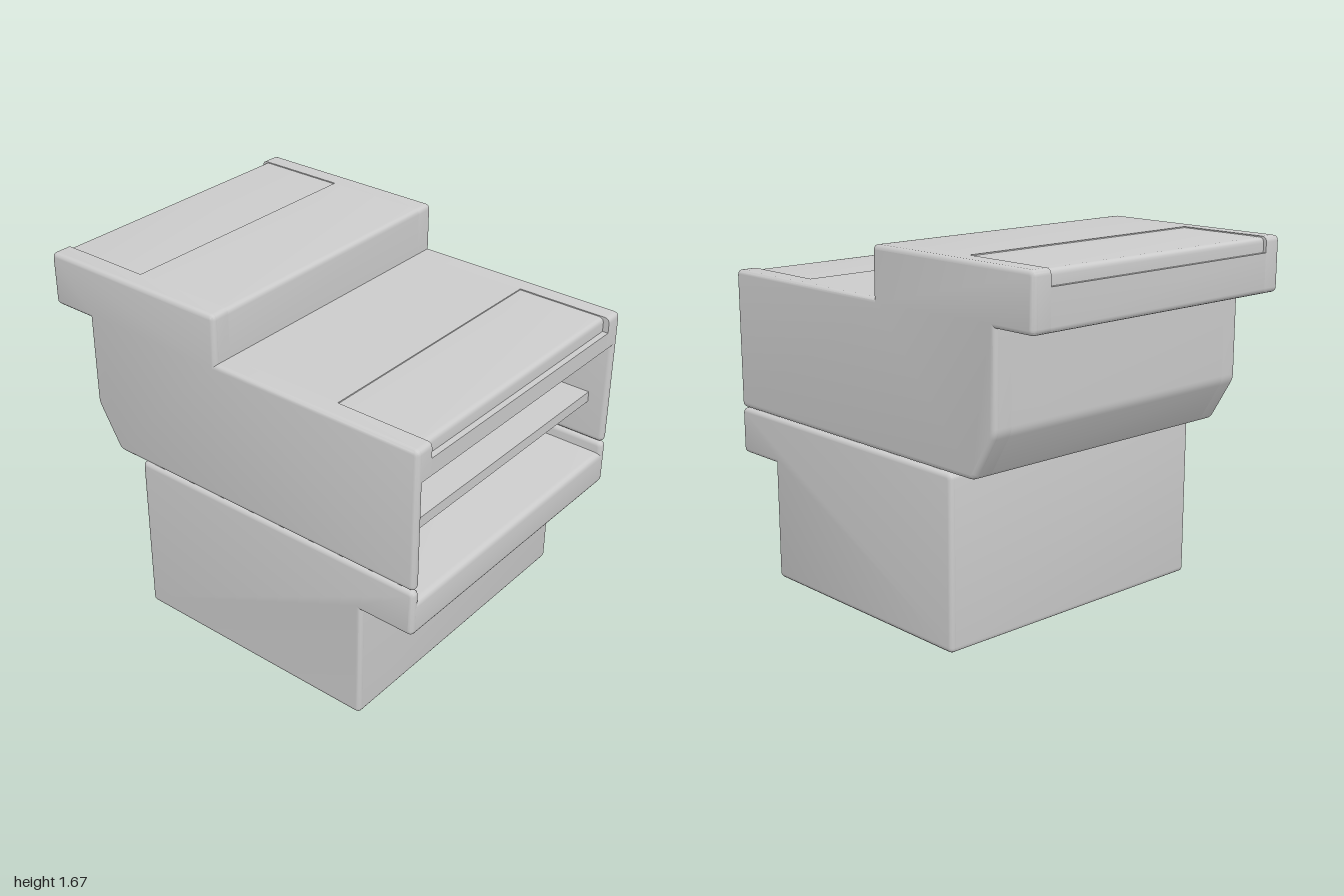
import * as THREE from 'three';
import { toCreasedNormals } from 'three/addons/utils/BufferGeometryUtils.js';

const R = 0.025; // edge rounding
const BEVEL = 0.02;

// Side profile from [z, y, radius] corners
function profile(corners) {
  const pts = corners.map(([z, y]) => new THREE.Vector2(z, y));
  const n = pts.length;
  const toward = (a, b, d) => a.clone().add(b.clone().sub(a).setLength(d));
  const shape = new THREE.Shape();
  corners.forEach(([z, y, r = 0], i) => {
    const a = toward(pts[i], pts[(i + n - 1) % n], r || 1e-9);
    const b = toward(pts[i], pts[(i + 1) % n], r || 1e-9);
    if (r === 0) a.copy(pts[i]);
    if (i === 0) shape.moveTo(a.x, a.y); else shape.lineTo(a.x, a.y);
    if (r > 0) shape.quadraticCurveTo(z, y, b.x, b.y);
  });
  shape.closePath();
  return shape;
}

export function createModel() {
  const model = new THREE.Group();
  const material = new THREE.MeshStandardMaterial({ color: 0xcccccc });

  // Slab of the profile between x0 and x1, optionally with rounded rims
  function slab(name, corners, x0, x1, bevel = 0) {
    let geo = new THREE.ExtrudeGeometry(profile(corners), {
      depth: x1 - x0 - 2 * bevel, curveSegments: 4,
      bevelEnabled: bevel > 0, bevelSize: bevel, bevelThickness: bevel,
      bevelOffset: -bevel, bevelSegments: 3,
    });
    geo.rotateY(-Math.PI / 2);
    geo.translate(x1 - bevel, 0, 0);
    geo = toCreasedNormals(geo, 0.6);
    const mesh = new THREE.Mesh(geo, material);
    mesh.name = name;
    model.add(mesh);
  }

  const W = 0.74, INNER = 0.695, CORE = W - BEVEL, PANEL = 0.647, BACK = -0.45;

  // Upper housing outline pieces
  const step = [[-0.035, 1.45], [-0.035, 1.675, R]];
  const rear = [[-1, 1.425, R], [-0.785, 1.425], [-0.785, 1, R], [-0.66, 0.79, R]];
  const upperWall = [[1, 0.79, R], [1, 1.45, R], ...step, [-1, 1.675, R], ...rear];
  const cavity = [[BACK, 0.79], [BACK, 1.3], [1, 1.3]];
  const upperRim = [[1, 1.45, R], ...step, [-1, 1.675, R], ...rear, ...cavity];
  // Centre with slightly sunken, wrapped-over panels at front and rear
  const upperCentre = [
    [1, 1.38], [0.972, 1.38], [0.972, 1.445, R], [0.54, 1.445], [0.54, 1.45],
    ...step, [-0.54, 1.675], [-0.54, 1.67], [-0.985, 1.67, R],
    [-0.985, 1.605], [-1, 1.605], ...rear, ...cavity,
  ];

  // Lower base outlines
  const under = [[0.735, 0.565], [0.735, 0, R], [-0.52, 0, R], [-0.52, 0.785, R]];
  const lowerWall = [[1, 0.785, R], [1, 0.565, R], ...under];
  const lowerCore = [[1, 0.73, 0.03], [1, 0.565, R], ...under, [BACK, 0.785], [BACK, 0.73]];

  for (const side of [-1, 1]) {
    const label = side > 0 ? 'left' : 'right';
    const span = (a, b) => (side > 0 ? [a, b] : [-b, -a]);
    slab(label + 'UpperWall', upperWall, ...span(INNER, W), BEVEL);
    slab(label + 'UpperRim', upperRim, ...span(PANEL, CORE));
    slab(label + 'LowerWall', lowerWall, ...span(INNER, W), BEVEL);
  }
  slab('upperHousing', upperCentre, -PANEL, PANEL);
  slab('lowerBase', lowerCore, -CORE, CORE);

  // Shelf inside the opening, with a sloping underside
  slab('shelf', [[0.91, 1.03], [0.91, 0.98], [BACK, 0.955], [BACK, 1.03]], -INNER, INNER);

  return model;
}
